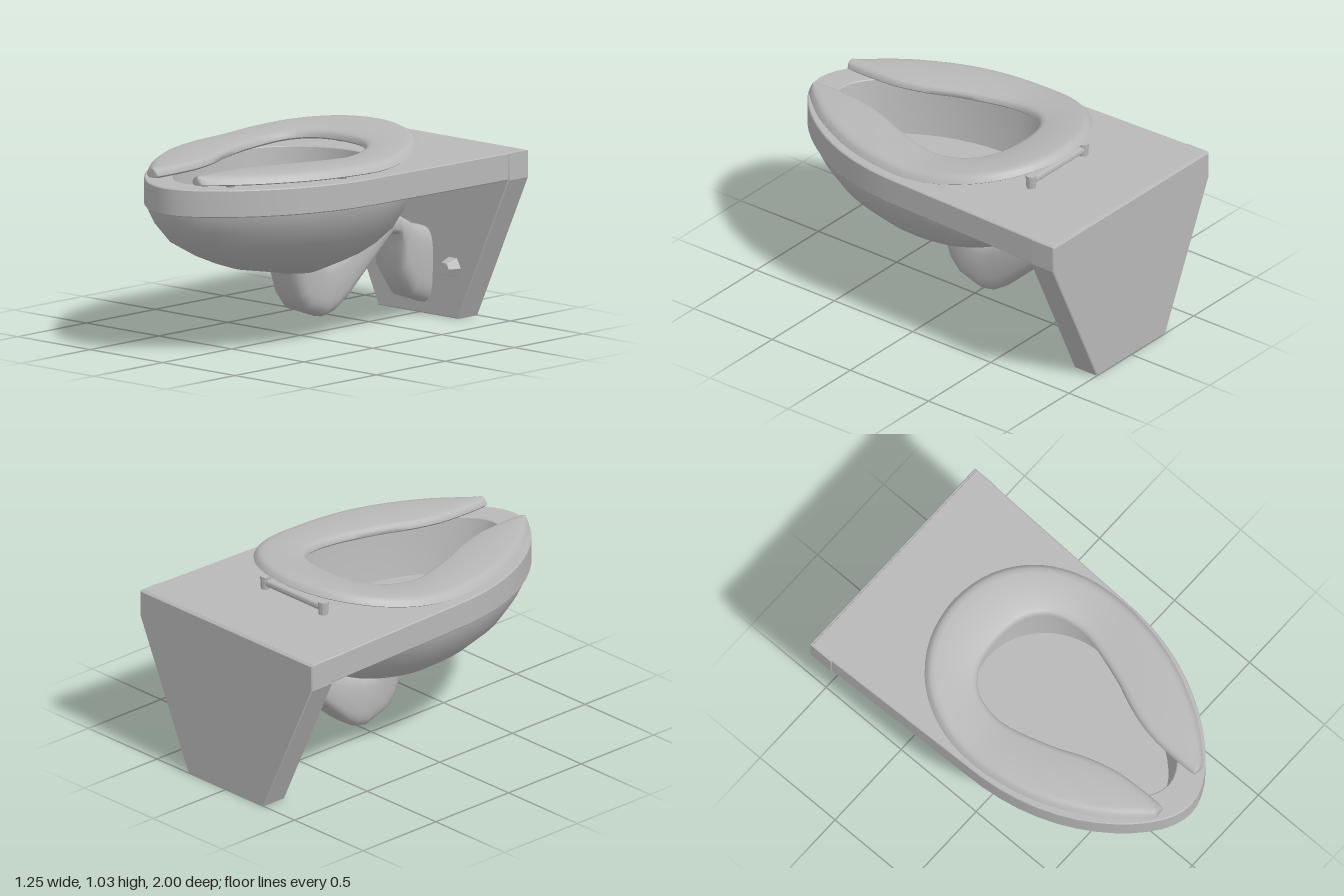
import * as THREE from 'three';
import { toCreasedNormals } from 'three/addons/utils/BufferGeometryUtils.js';

const porcelain = new THREE.MeshStandardMaterial({ color: 0xb8b8b8 });
porcelain.name = 'grey porcelain';

// Skin a row of closed rings; each ring runs counter-clockwise about the direction of travel
function loft(rings, capStart, capEnd) {
  const n = rings[0].length, pos = [], idx = [];
  rings.forEach(r => r.forEach(p => pos.push(p.x, p.y, p.z)));
  for (let i = 0; i < rings.length - 1; i++) {
    for (let j = 0; j < n; j++) {
      const a = i * n + j, b = i * n + (j + 1) % n;
      idx.push(a, b, b + n, a, b + n, a + n);
    }
  }
  const cap = (ring, base, flip) => {
    const c = ring.reduce((s, p) => s.add(p), new THREE.Vector3()).divideScalar(n);
    const k = pos.length / 3;
    pos.push(c.x, c.y, c.z);
    for (let j = 0; j < n; j++) {
      const a = base + j, b = base + (j + 1) % n;
      if (flip) idx.push(k, b, a); else idx.push(k, a, b);
    }
  };
  if (capStart) cap(rings[0], 0, true);
  if (capEnd) cap(rings[rings.length - 1], (rings.length - 1) * n, false);
  const g = new THREE.BufferGeometry();
  g.setAttribute('position', new THREE.Float32BufferAttribute(pos, 3));
  g.setIndex(idx);
  return g;
}

// Egg-shaped ring, pinched in front: [height, front z, back z, half width, z of widest point]
function eggRing([y, front, back, w, zc], n = 56) {
  return Array.from({ length: n }, (_, j) => {
    const t = j / n * Math.PI * 2, c = Math.cos(t), pinch = 1 - 0.2 * Math.max(0, c) ** 3;
    return new THREE.Vector3(w * Math.sin(t) * pinch, y, zc + c * (c > 0 ? front - zc : zc - back));
  });
}

export function createModel() {
  const model = new THREE.Group();
  const add = (name, geo, x = 0, y = 0, z = 0, crease = 0.6) => {
    const m = new THREE.Mesh(toCreasedNormals(geo, crease), porcelain);
    m.name = name;
    m.position.set(x, y, z);
    model.add(m);
  };
  const bevel = { bevelThickness: 0.005, bevelSize: 0.005, bevelOffset: -0.005, bevelSegments: 1 };
  const flat = p => new THREE.Vector2(p.x, p.z);

  // Deck: pointed egg in front, nearly straight sides into the wall plate, with the bowl opening
  const front = eggRing([0, 0.995, -1, 0.592, 0]).filter(p => p.z > -0.001)
    .sort((a, b) => b.x - a.x).map(flat);
  const deck = new THREE.Shape([
    new THREE.Vector2(-0.624, -0.99), new THREE.Vector2(0.624, -0.99), ...front,
  ]);
  deck.holes.push(new THREE.Path(eggRing([0, 0.84, -0.38, 0.42, 0.05]).map(flat)));
  const deckGeo = new THREE.ExtrudeGeometry(deck, { depth: 0.13, ...bevel });
  add('deck', deckGeo.rotateX(Math.PI / 2), 0, 0.885, 0, 0.4);

  // Wall plate, tapering towards the floor
  const plate = new THREE.Shape([
    [-0.275, 0.0], [0.275, 0.0], [0.625, 0.75], [0.625, 0.887], [-0.625, 0.887], [-0.625, 0.75],
  ].map(p => new THREE.Vector2(...p)));
  add('wallPlate', new THREE.ExtrudeGeometry(plate, { depth: 0.135, ...bevel }), 0, 0, -0.995, 0.4);

  // Outer bowl, from its underside up to the deck
  add('bowl', loft([
    [0.335, 0.14, -0.06, 0.1, 0.04],
    [0.35, 0.2, -0.09, 0.14, 0.05],
    [0.4, 0.46, -0.24, 0.25, 0.06],
    [0.44, 0.58, -0.32, 0.33, 0.05],
    [0.49, 0.7, -0.385, 0.405, 0.04],
    [0.57, 0.85, -0.455, 0.49, 0.02],
    [0.66, 0.935, -0.5, 0.545, 0.01],
    [0.72, 0.97, -0.52, 0.575, 0],
    [0.75, 0.98, -0.53, 0.583, 0],
  ].map(r => eggRing(r)), true, false), 0, 0, 0, 0.9);

  // Inner basin: steep wall down to a broad flat floor
  add('basin', loft([
    [0.886, 0.84, -0.38, 0.42, 0.05],
    [0.8, 0.825, -0.375, 0.41, 0.05],
    [0.68, 0.805, -0.365, 0.395, 0.05],
    [0.6, 0.79, -0.355, 0.38, 0.05],
  ].map(r => eggRing(r)), false, true));

  // Trapway: [outer z, outer y, inner z, inner y, half width], down, up over the arch, into the wall
  const trap = [
    [0.15, 0.37, -0.06, 0.39, 0.118],
    [0.135, 0.32, -0.07, 0.385, 0.117],
    [0.1, 0.21, -0.09, 0.38, 0.115],
    [0.04, 0.135, -0.11, 0.385, 0.112],
    [-0.1, 0.085, -0.15, 0.395, 0.108],
    [-0.17, 0.1, -0.2, 0.415, 0.108],
    [-0.24, 0.145, -0.28, 0.45, 0.11],
    [-0.42, 0.31, -0.44, 0.515, 0.113],
    [-0.57, 0.445, -0.54, 0.555, 0.115],
    [-0.625, 0.435, -0.61, 0.55, 0.115],
    [-0.635, 0.37, -0.7, 0.505, 0.115],
    [-0.64, 0.24, -0.77, 0.47, 0.115],
    [-0.73, 0.1, -0.85, 0.45, 0.11],
    [-0.87, 0.05, -0.9, 0.44, 0.1],
  ];
  const soften = v => Math.sign(v) * Math.pow(Math.abs(v), 0.6);
  add('trapway', loft(trap.map(([oz, oy, iz, iy, w]) => Array.from({ length: 24 }, (_, j) => {
    const a = j / 24 * Math.PI * 2, s = soften(Math.sin(a)) / 2;
    return new THREE.Vector3(w * soften(Math.cos(a)),
      (oy + iy) / 2 + (oy - iy) * s, (oz + iz) / 2 + (oz - iz) * s);
  })), true, true), 0, 0, 0, 0.9);

  // Open-front seat: paired outer and inner edge points [x, z, x, z] of one half, mirrored
  const half = [
    [0.185, 0.913, 0.125, 0.913], [0.21, 0.89, 0.117, 0.895], [0.275, 0.82, 0.115, 0.78],
    [0.38, 0.68, 0.127, 0.61], [0.49, 0.46, 0.17, 0.45], [0.55, 0.25, 0.24, 0.28],
    [0.573, 0.02, 0.308, 0.04], [0.54, -0.2, 0.3, -0.11], [0.43, -0.4, 0.25, -0.21],
    [0.24, -0.54, 0.15, -0.275],
  ];
  const pairs = [...half, [0, -0.59, 0, -0.295],
    ...half.slice().reverse().map(([a, b, c, d]) => [-a, b, -c, d])];
  const edge = k => new THREE.CatmullRomCurve3(
    pairs.map(p => new THREE.Vector3(p[k], 0, p[k + 1])), false, 'catmullrom', 0.5);
  const outer = edge(0), inner = edge(2);
  // Seat section: [from inner edge?, inset, height]
  const section = [[1, 0.035, 0.046], [0, 0.055, 0.046], [0, 0.03, 0.041], [0, 0.015, 0.03],
    [0, 0, 0.006], [0, 0.01, 0], [1, 0.01, 0], [1, 0, 0.01], [1, 0.003, 0.028], [1, 0.014, 0.04]];
  const seatRings = [];
  for (let i = 0; i <= 80; i++) {
    const o = outer.getPoint(i / 80), n = inner.getPoint(i / 80), width = o.distanceTo(n);
    seatRings.push(section.map(([side, inset, h]) => {
      const f = Math.min(inset / width, 0.45);
      const p = o.clone().lerp(n, side ? 1 - f : f);
      const d = Math.max(0, 0.05 - p.z); // the back of the seat sweeps upward
      p.y = 0.909 + h + 0.19 * d * d / (d + 0.3);
      return p;
    }));
  }
  add('seat', loft(seatRings, true, true), 0, 0, 0, 0.9);

  // Mirrored small parts: seat bumpers, hinge posts and wall bolts
  for (const s of [1, -1]) {
    for (const [x, z] of [[0.23, 0.75], [0.48, 0.2]]) {
      add('seatBumper', new THREE.CylinderGeometry(0.03, 0.02, 0.026, 12), s * x, 0.9, z);
    }
    add('hingePost', new THREE.CylinderGeometry(0.028, 0.024, 0.07, 10), s * 0.21, 0.923, -0.527);
    const bolt = new THREE.CylinderGeometry(0.034, 0.06, 0.075, 6);
    add('wallBolt', bolt.rotateX(Math.PI / 2).rotateZ(Math.PI / 6), s * 0.24, 0.26, -0.828);
  }
  add('hingeRod', new THREE.CylinderGeometry(0.02, 0.02, 0.42, 12).rotateZ(Math.PI / 2), 0, 0.925, -0.527);

  return model;
}
